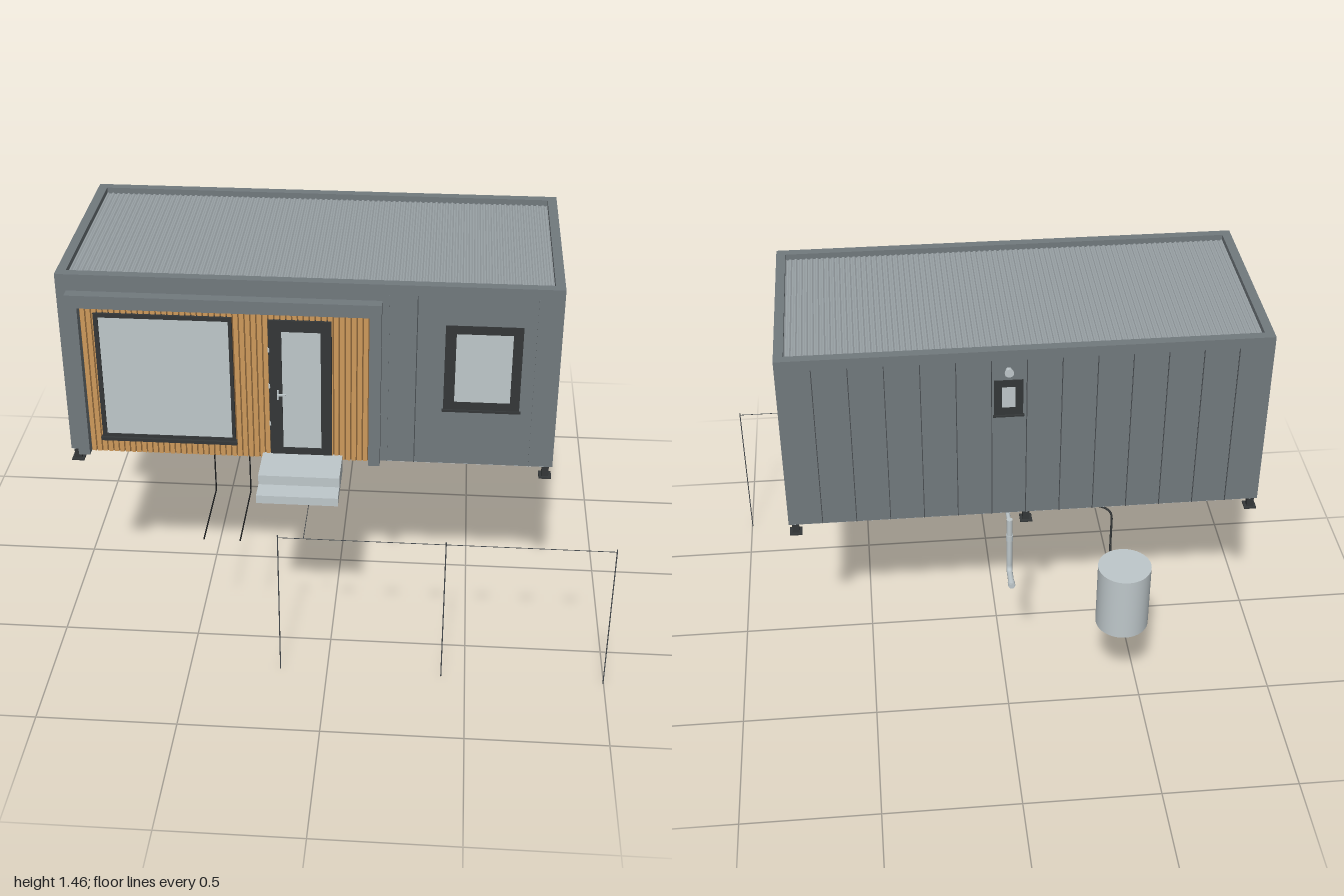
import * as THREE from 'three';

const mat = (name, color, side = THREE.FrontSide) => {
  const m = new THREE.MeshStandardMaterial({ color, side });
  m.name = name;
  return m;
};

export function createModel() {
  const model = new THREE.Group();
  model.name = 'cabin';
  const cladding = mat('grey cladding', 0x727a7e);
  const roofing = mat('roof sheet', 0x9aa2a6, THREE.DoubleSide);
  const dark = mat('dark frame', 0x343738);
  const seamDark = mat('seam grey', 0x4a4f53);
  const pale = mat('pale grey', 0xbfc8cb);
  const wood = mat('slat wood', 0xce9a5b);
  const gap = mat('slat shadow gap', 0x8a6339);
  const board = mat('floor board', 0xcf9048);
  const black = mat('black line', 0x1c1e1f);

  const add = (name, geo, material) => {
    const m = new THREE.Mesh(geo, material);
    m.name = name;
    model.add(m);
    return m;
  };
  // box given by its limits on each axis
  const box = (name, material, x0, x1, y0, y1, z0, z1) => {
    const m = add(name, new THREE.BoxGeometry(x1 - x0, y1 - y0, z1 - z0), material);
    m.position.set((x0 + x1) / 2, (y0 + y1) / 2, (z0 + z1) / 2);
  };
  const cyl = (name, material, r, h, x, y, z, axis = 'y', sides = 20) => {
    const m = add(name, new THREE.CylinderGeometry(r, r, h, sides), material);
    if (axis === 'x') m.rotation.z = Math.PI / 2;
    if (axis === 'z') m.rotation.x = Math.PI / 2;
    m.position.set(x, y, z);
  };
  // pipe through points, with rounded bends of the given size
  const pipe = (name, material, r, pts, bend = 0.02) => {
    const v = pts.map((p) => new THREE.Vector3(...p));
    const curves = [];
    let from = v[0];
    for (let i = 1; i < v.length - 1; i++) {
      const a = v[i].clone().add(v[i - 1].clone().sub(v[i]).setLength(bend));
      const b = v[i].clone().add(v[i + 1].clone().sub(v[i]).setLength(bend));
      curves.push(new THREE.LineCurve3(from, a), new THREE.QuadraticBezierCurve3(a, v[i], b));
      from = b;
    }
    curves.push(new THREE.LineCurve3(from, v[v.length - 1]));
    curves.forEach((c) => add(name, new THREE.TubeGeometry(c, c.isLineCurve3 ? 1 : 6, r, 10), material));
    [[v[0], v[1]], [v[v.length - 1], v[v.length - 2]]].forEach(([end, inner]) => {
      const cap = add(name + 'End', new THREE.CircleGeometry(r, 10), material);
      cap.position.copy(end);
      cap.lookAt(end.clone().multiplyScalar(2).sub(inner));
    });
  };
  // rectangular ring extruded forward from z
  const points = (list) => list.map((p) => new THREE.Vector2(...p));
  const frame = (name, material, o, i, z, depth) => {
    const s = new THREE.Shape(points([[o[0], o[2]], [o[1], o[2]], [o[1], o[3]], [o[0], o[3]]]));
    s.holes.push(new THREE.Path(points([[i[0], i[2]], [i[0], i[3]], [i[1], i[3]], [i[1], i[2]]])));
    add(name, new THREE.ExtrudeGeometry(s, { depth, bevelEnabled: false }), material).position.z = z;
  };

  // walls rising into a parapet
  const X0 = -0.925, X1 = 0.773, Y0 = 0.775, Y1 = 1.462, Z0 = -0.312, Z1 = 0.453, T = 0.033;
  box('frontWall', cladding, X0, X1, Y0, Y1, Z1 - T, Z1);
  box('backWall', cladding, X0, X1, Y0, Y1, Z0, Z0 + T);
  box('leftWall', cladding, X1 - T, X1, Y0, Y1, Z0 + T, Z1 - T);
  box('rightWall', cladding, X0, X0 + T, Y0, Y1, Z0 + T, Z1 - T);

  // corrugated roof: waves run from front to back
  const ribs = 84, rw = X1 - X0 - 2 * T;
  const roof = new THREE.PlaneGeometry(rw, Z1 - Z0 - 2 * T, ribs * 4, 1).toNonIndexed().rotateX(-Math.PI / 2);
  const rp = roof.attributes.position;
  for (let i = 0; i < rp.count; i++) {
    const k = Math.round(((rp.getX(i) + rw / 2) / rw) * ribs * 4) % 4;
    rp.setY(i, k < 2 ? 0.004 : 0);
  }
  roof.computeVertexNormals();
  add('roofSheet', roof, roofing).position.set((X0 + X1) / 2, 1.438, (Z0 + Z1) / 2);

  // standing seams
  const seamTop = 1.424, s = 0.0015, d = 0.003;
  for (let i = 0; i < 6; i++) {
    const z = 0.265 - i * 0.0945;
    box('leftSeam', seamDark, X1, X1 + d, Y0, seamTop, z - s, z + s);
    box('rightSeam', seamDark, X0 - d, X0, Y0, seamTop, z - s, z + s);
  }
  for (let i = 1; i < 14; i++) {
    const x = X0 + ((X1 - X0) * i) / 14;
    box('backSeam', seamDark, x - s, x + s, Y0, seamTop, Z0 - d, Z0);
  }
  [0.195, 0.29, 0.69].forEach((x) =>
    box('frontSeam', x === 0.29 ? seamDark : cladding, x - s, x + s, Y0, seamTop, Z1, Z1 + d));

  // timber front with vertical slats, framed by a projecting portal
  box('slatBacking', gap, -0.85, 0.132, Y0, 1.355, Z1, Z1 + 0.003);
  for (let i = 0; i < 49; i++) {
    const x = -0.85 + i * 0.02;
    box('slat', wood, x + 0.002, x + 0.017, Y0, 1.355, Z1 + 0.002, Z1 + 0.008);
  }
  box('portalTop', cladding, -0.89, 0.172, 1.355, 1.402, Z1, 0.491);
  box('portalSide', cladding, -0.89, -0.85, Y0, 1.355, Z1, 0.491);
  box('portalSide', cladding, 0.132, 0.172, Y0, 1.355, Z1, 0.491);

  // windows and door
  frame('bigWindowFrame', dark, [-0.803, -0.333, 0.84, 1.327], [-0.787, -0.345, 0.853, 1.312], Z1, 0.016);
  box('bigWindowGlass', pale, -0.787, -0.345, 0.853, 1.312, Z1, Z1 + 0.012);
  box('bigWindowSill', dark, -0.808, -0.328, 0.83, 0.842, Z1, Z1 + 0.026);
  frame('doorFrame', dark, [-0.211, 0.004, 0.797, 1.323], [-0.166, -0.033, 0.823, 1.281], Z1, 0.016);
  box('doorGlass', pale, -0.166, -0.033, 0.823, 1.281, Z1, Z1 + 0.012);
  box('doorHandle', pale, -0.183, -0.153, 1.037, 1.043, Z1 + 0.022, Z1 + 0.028);
  box('doorHandlePlate', pale, -0.184, -0.178, 1.02, 1.055, Z1 + 0.015, Z1 + 0.023);
  [0.92, 1.07, 1.21].forEach((y) => box('doorHinge', pale, -0.213, -0.207, y - 0.008, y + 0.008, Z1 + 0.01, Z1 + 0.019));
  frame('smallWindowFrame', dark, [0.385, 0.645, 0.996, 1.319], [0.422, 0.612, 1.026, 1.288], Z1, 0.002);
  box('smallWindowGlass', pale, 0.422, 0.612, 1.026, 1.288, Z1, Z1 + 0.0012);
  box('smallWindowSill', dark, 0.38, 0.65, 0.988, 0.996, Z1, Z1 + 0.008);
  frame('backWindowFrame', dark, [-0.063, 0.037, 1.205, 1.345], [-0.036, 0.01, 1.235, 1.318], Z0 - 0.0035, 0.0035);
  box('backWindowGlass', pale, -0.036, 0.01, 1.235, 1.318, Z0 - 0.0032, Z0);
  box('backWindowSill', dark, -0.067, 0.041, 1.199, 1.205, Z0 - 0.01, Z0);

  // wall vent
  cyl('ventPipe', pale, 0.011, 0.02, -0.013, 1.385, Z0 - 0.01, 'z');
  cyl('ventCap', pale, 0.016, 0.005, -0.013, 1.385, Z0 - 0.02, 'z');

  // floor with steel joists
  box('floorBoard', board, X0 + T, X1 - T, 0.793, 0.81, Z0 + T, Z1 - T);
  for (let i = 1; i < 9; i++) {
    const x = X0 + ((X1 - X0) * i) / 9;
    box('joist', pale, x - 0.009, x + 0.009, 0.777, 0.793, Z0 + 0.004, Z1 - 0.01);
  }
  box('longBeam', pale, X0 + 0.01, X1 - 0.01, 0.776, 0.793, 0.121, 0.139);
  [[Z0 + 0.002, Z0 + T], [Z1 - T, Z1 - 0.002]].forEach(([a, b]) =>
    box('edgeBeam', pale, X0 + 0.002, X1 - 0.002, 0.773, 0.78, a, b));
  [[X0 + 0.002, X0 + T], [X1 - T, X1 - 0.002]].forEach(([a, b]) =>
    box('endBeam', pale, a, b, 0.773, 0.78, Z0 + T, Z1 - T));
  box('wetRoomTray', pale, -0.24, 0.19, 0.776, 0.793, -0.279, -0.03);

  // feet
  [[-0.905, 0.433], [-0.08, 0.433], [0.75, 0.433], [-0.905, -0.29], [-0.08, -0.29], [0.75, -0.29],
    [0.24, 0.13], [-0.325, 0.13]].forEach(([x, z]) => {
    box('footPost', dark, x - 0.012, x + 0.012, 0.729, 0.777, z - 0.012, z + 0.012);
    box('footPlate', dark, x - 0.022, x + 0.022, 0.726, 0.731, z - 0.022, z + 0.022);
  });

  // entrance steps
  box('upperStep', pale, -0.24, 0.04, 0.757, 0.793, Z1 + 0.002, 0.607);
  box('lowerStep', pale, -0.24, 0.04, 0.726, 0.757, Z1 + 0.002, 0.677);

  // waste pipes and water tank
  pipe('wastePipe', pale, 0.008, [[-0.015, 0.785, 0.03], [-0.015, 0.757, 0.03], [-0.015, 0.747, -0.35]], 0.015);
  pipe('drainPipe', pale, 0.011, [[-0.015, 0.772, -0.35], [-0.015, 0.537, -0.35], [-0.015, 0.537, -0.445]], 0.028);
  cyl('drainCollar', pale, 0.013, 0.025, -0.015, 0.69, -0.35);
  cyl('drainCollar', pale, 0.013, 0.02, -0.015, 0.537, -0.43, 'z');
  pipe('branchPipe', pale, 0.007, [[0.07, 0.785, -0.13], [0.07, 0.755, -0.13], [-0.015, 0.752, -0.17]], 0.015);
  pipe('branchPipe', pale, 0.007, [[-0.17, 0.785, -0.17], [-0.17, 0.755, -0.17], [-0.015, 0.75, -0.24]], 0.015);
  pipe('supplyPipe', pale, 0.004, [[-0.78, 0.785, -0.2], [-0.78, 0.762, -0.2], [-0.1, 0.755, -0.2]], 0.012);
  pipe('tankPipe', dark, 0.004, [[-0.2, 0.752, -0.21], [-0.397, 0.745, -0.29], [-0.397, 0.537, -0.29], [-0.397, 0.537, -0.5]], 0.045);
  cyl('waterTank', pale, 0.094, 0.253, -0.397, 0.596, -0.587, 'y', 40);

  // service cables towards the front
  [-0.428, -0.301].forEach((x) => {
    pipe('serviceCable', black, 0.0025, [[x, 0.785, 0.363], [x, 0.562, 0.363], [x, 0.562, 0.672]], 0.006);
    box('cableBox', cladding, x - 0.015, x + 0.015, 0.755, 0.77, 0.348, 0.378);
  });

  // earthing wire with three ground rods
  pipe('earthWire', seamDark, 0.0013, [[-0.08, 0.775, 0.41], [-0.08, 0.585, 0.41], [-0.08, 0.585, 0.678]], 0.005);
  pipe('earthWire', seamDark, 0.0013, [[-0.17, 0.585, 0.678], [0.999, 0.585, 0.678]]);
  [-0.17, 0.414, 0.998].forEach((x) => cyl('groundRod', seamDark, 0.002, 0.595, x, 0.2975, 0.678, 'y', 8));

  // outdoor air unit on the right wall
  box('airUnit', pale, -0.997, -0.937, 0.857, 0.984, -0.028, 0.162);
  [0.0, 0.13].forEach((z) => {
    box('airUnitBracket', pale, -0.99, X0, 0.85, 0.857, z - 0.005, z + 0.005);
    pipe('airUnitStrut', pale, 0.003, [[-0.98, 0.852, z], [X0, 0.812, z]]);
  });
  cyl('airUnitFan', dark, 0.05, 0.004, -0.997, 0.92, 0.094, 'x', 28);
  cyl('airUnitHub', pale, 0.012, 0.003, -0.9985, 0.92, 0.094, 'x');
  [0.022, 0.036].forEach((r) => {
    const ring = add('fanGuard', new THREE.TorusGeometry(r, 0.0015, 6, 28), pale);
    ring.rotation.y = Math.PI / 2;
    ring.position.set(-0.9985, 0.92, 0.094);
  });
  for (let i = 0; i < 7; i++) {
    const y = 0.872 + i * 0.016;
    box('airUnitSlat', seamDark, -0.988, -0.95, y, y + 0.003, -0.029, -0.028);
  }
  pipe('airUnitPipe', cladding, 0.007, [[-0.96, 0.9, 0.15], [-0.96, 0.9, 0.172], [-0.941, 0.9, 0.172], [-0.941, 1.287, 0.172], [-0.925, 1.287, 0.172]], 0.008);

  return model;
}
